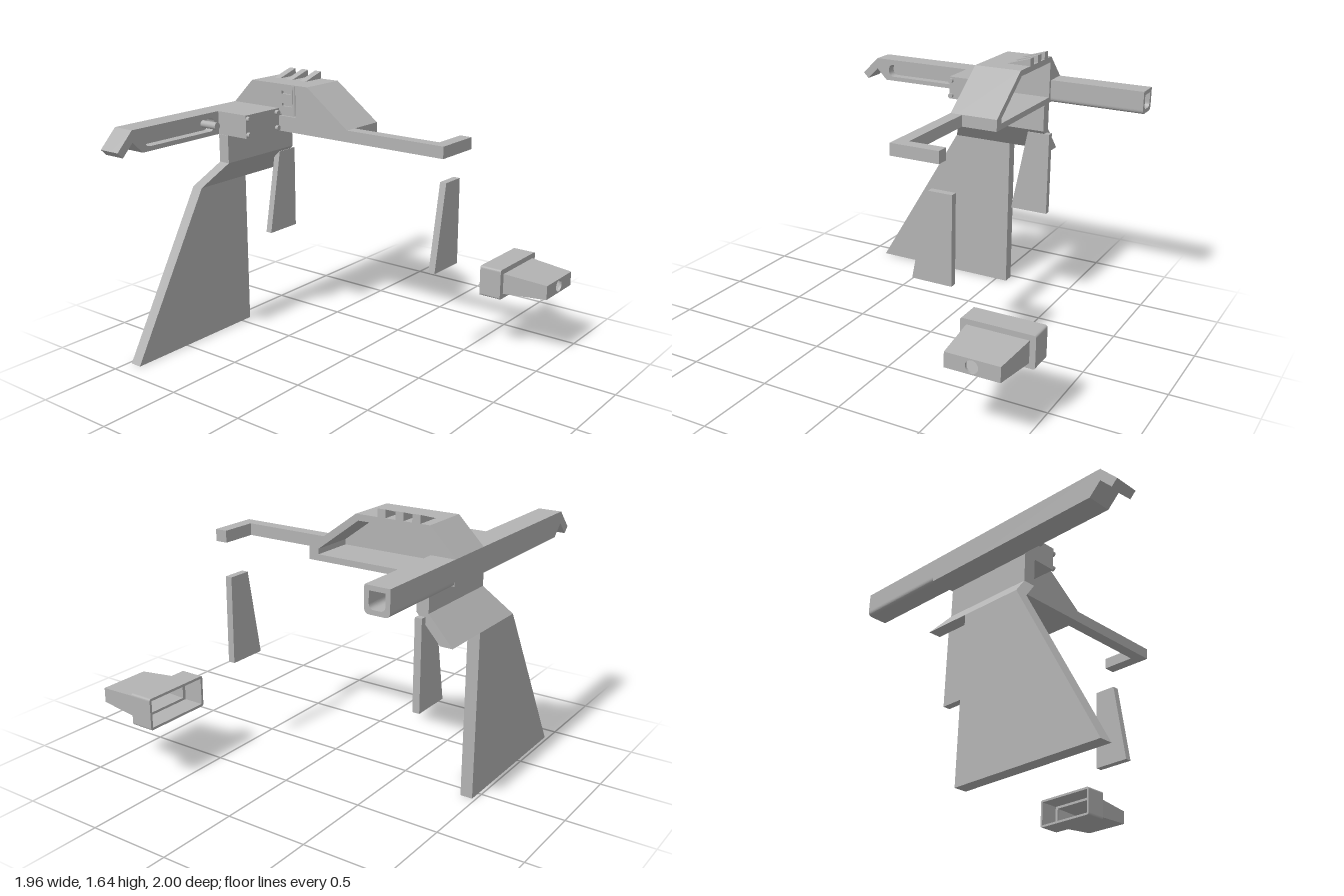
import * as THREE from 'three';

const grey = new THREE.MeshStandardMaterial({ color: 0xb3b3b3 });
grey.name = 'plain grey';
grey.side = THREE.DoubleSide;

const poly = (pts) => new THREE.Shape(pts.map(([a, b]) => new THREE.Vector2(a, b)));
const rect = (a0, b0, a1, b1) => poly([[a0, b0], [a1, b0], [a1, b1], [a0, b1]]);
const withHoles = (shape, ...holes) => { shape.holes.push(...holes); return shape; };

function roundRect(a0, b0, a1, b1, r, rTop = r) {
  const s = new THREE.Shape();
  s.moveTo(a0 + r, b0);
  s.lineTo(a1 - r, b0);
  s.quadraticCurveTo(a1, b0, a1, b0 + r);
  s.lineTo(a1, b1 - rTop);
  if (rTop) s.quadraticCurveTo(a1, b1, a1 - rTop, b1);
  s.lineTo(a0 + rTop, b1);
  if (rTop) s.quadraticCurveTo(a0, b1, a0, b1 - rTop);
  s.lineTo(a0, b0 + r);
  s.quadraticCurveTo(a0, b0, a0 + r, b0);
  return s;
}

function extrude(shape, depth) {
  return new THREE.ExtrudeGeometry(shape, { depth, bevelEnabled: false, curveSegments: 10 });
}
// Outline in (x, y), running from z0 to z1
const alongZ = (shape, z0, z1) => extrude(shape, z1 - z0).translate(0, 0, z0);
// Outline in (z, y), running from x0 to x1
const alongX = (shape, x0, x1) => extrude(shape, x1 - x0).rotateY(-Math.PI / 2).translate(x1, 0, 0);

export function createModel() {
  const model = new THREE.Group();
  const add = (name, geometry) => {
    const mesh = new THREE.Mesh(geometry, grey);
    mesh.name = name;
    model.add(mesh);
    return mesh;
  };
  const box = (name, x0, x1, y0, y1, z0, z1) =>
    add(name, new THREE.BoxGeometry(x1 - x0, y1 - y0, z1 - z0)
      .translate((x0 + x1) / 2, (y0 + y1) / 2, (z0 + z1) / 2));
  const pin = (name, r, x0, x1, y, z) =>
    add(name, new THREE.CylinderGeometry(r, r, x1 - x0, 20).rotateZ(Math.PI / 2)
      .translate((x0 + x1) / 2, y, z));

  // Housing: pocketed rear, then a solid wall, then a front skin with grooves
  const outline = () => poly([[-0.98, 1.31], [-0.09, 1.31], [-0.09, 1.38], [-0.39, 1.6],
    [-0.83, 1.6], [-0.98, 1.45]]);
  const pocket = poly([[-0.82, 1.345], [-0.15, 1.345], [-0.15, 1.375], [-0.405, 1.565], [-0.82, 1.565]]);
  add('housing', alongZ(withHoles(outline(), pocket), -0.375, -0.12));
  add('housingWall', alongZ(outline(), -0.12, -0.095));
  const groove = poly([[-0.61, 1.405], [-0.482, 1.405], [-0.482, 1.594], [-0.503, 1.594],
    [-0.503, 1.417], [-0.61, 1.417]]);
  const slots = [1.475, 1.55].map((y) => rect(-0.59, y - 0.009, -0.515, y + 0.009));
  add('housingFront', alongZ(withHoles(outline(), groove, ...slots), -0.095, -0.08));
  add('hinge', new THREE.CylinderGeometry(0.009, 0.009, 0.18, 12).translate(-0.492, 1.506, -0.083));

  // Wedge ribs on the roof
  for (const x of [-0.752, -0.653, -0.546]) {
    add('roofRib', alongX(poly([[-0.375, 1.6], [-0.225, 1.6], [-0.375, 1.645]]), x - 0.024, x + 0.024));
  }

  // Side arm with a hook at its end
  box('arm', -0.09, 0.5, 1.31, 1.38, -0.155, -0.08);
  box('armHook', 0.5, 0.575, 1.31, 1.38, -0.375, -0.08);

  // Hollow rear bar
  add('rearBar', alongZ(withHoles(roundRect(-0.98, 1.31, -0.84, 1.45, 0.03, 0),
    roundRect(-0.955, 1.335, -0.865, 1.425, 0.03, 0)), -0.97, -0.375));

  // Front bar with bent tip, slotted on its inner side
  const barSide = () => poly([[-0.08, 1.31], [0.82, 1.31], [0.89, 1.38], [0.965, 1.305],
    [1, 1.34], [0.89, 1.45], [-0.08, 1.45]]);
  add('frontBar', alongX(barSide(), -0.98, -0.9));
  add('frontBarSlotted', alongX(withHoles(barSide(), roundRect(0.25, 1.337, 0.8, 1.417, 0.04)), -0.9, -0.84));
  pin('slotPin', 0.022, -0.9, -0.78, 1.377, 0.287);

  // Screwed block beside the bar
  box('sideBlock', -0.84, -0.615, 1.31, 1.45, -0.08, 0.215);
  for (const y of [1.332, 1.427]) {
    for (const z of [-0.055, 0.2]) pin('screw', 0.015, -0.62, -0.595, y, z);
  }

  // Large leg: upright top, outward slanting middle, flared blade
  add('legTop', alongX(rect(-0.37, 1.14, 0.22, 1.31), -0.835, -0.762));
  const middle = alongX(poly([[-0.37, 0.98], [0.315, 0.98], [0.22, 1.14], [-0.37, 1.14]]), -0.835, -0.762);
  const p = middle.attributes.position;
  for (let i = 0; i < p.count; i++) {
    p.setX(i, p.getX(i) - (0.145 * (1.14 - p.getY(i))) / 0.16);
  }
  middle.computeVertexNormals();
  add('legMiddle', middle);
  add('legBlade', alongX(poly([[-0.075, 0], [0.89, 0], [0.315, 0.98], [-0.075, 0.98]]), -0.98, -0.907));

  // Two small fins
  for (const x of [-0.796, 0.466]) {
    add('fin', alongX(poly([[-0.405, 0.595], [-0.16, 0.595], [-0.26, 1.12], [-0.405, 1.12]]), x - 0.021, x + 0.021));
  }

  // Detached cap: open collar, hollow tapered nose, end plate with a hole
  const cy = 0.449, cz = -0.786;
  const taperBase = [0.064, 0.18], taperEnd = [0.044, 0.157];
  const opening = ([h, w]) => rect(cz - w, cy - h, cz + w, cy + h);
  const collar = () => roundRect(-1, 0.355, -0.57, 0.545, 0.015);
  add('capCollar', alongX(withHoles(collar(), rect(-0.985, 0.37, -0.585, 0.53)), 0.553, 0.68));
  add('capShoulder', alongX(withHoles(collar(), opening(taperBase)), 0.68, 0.695));
  let nose = new THREE.CylinderGeometry(1, 1, 1, 4, 1, true).rotateY(Math.PI / 4)
    .rotateZ(-Math.PI / 2).toNonIndexed();
  const n = nose.attributes.position;
  for (let i = 0; i < n.count; i++) {
    const end = n.getX(i) > 0;
    const [h, w] = end ? taperEnd : taperBase;
    n.setXYZ(i, end ? 0.975 : 0.695, cy + Math.sign(n.getY(i)) * h, cz + Math.sign(n.getZ(i)) * w);
  }
  nose.computeVertexNormals();
  add('capNose', nose);
  const bore = new THREE.Path().absarc(cz + 0.002, cy, 0.037, 0, Math.PI * 2, true);
  add('capEnd', alongX(withHoles(opening(taperEnd), bore), 0.96, 0.975));

  return model;
}
